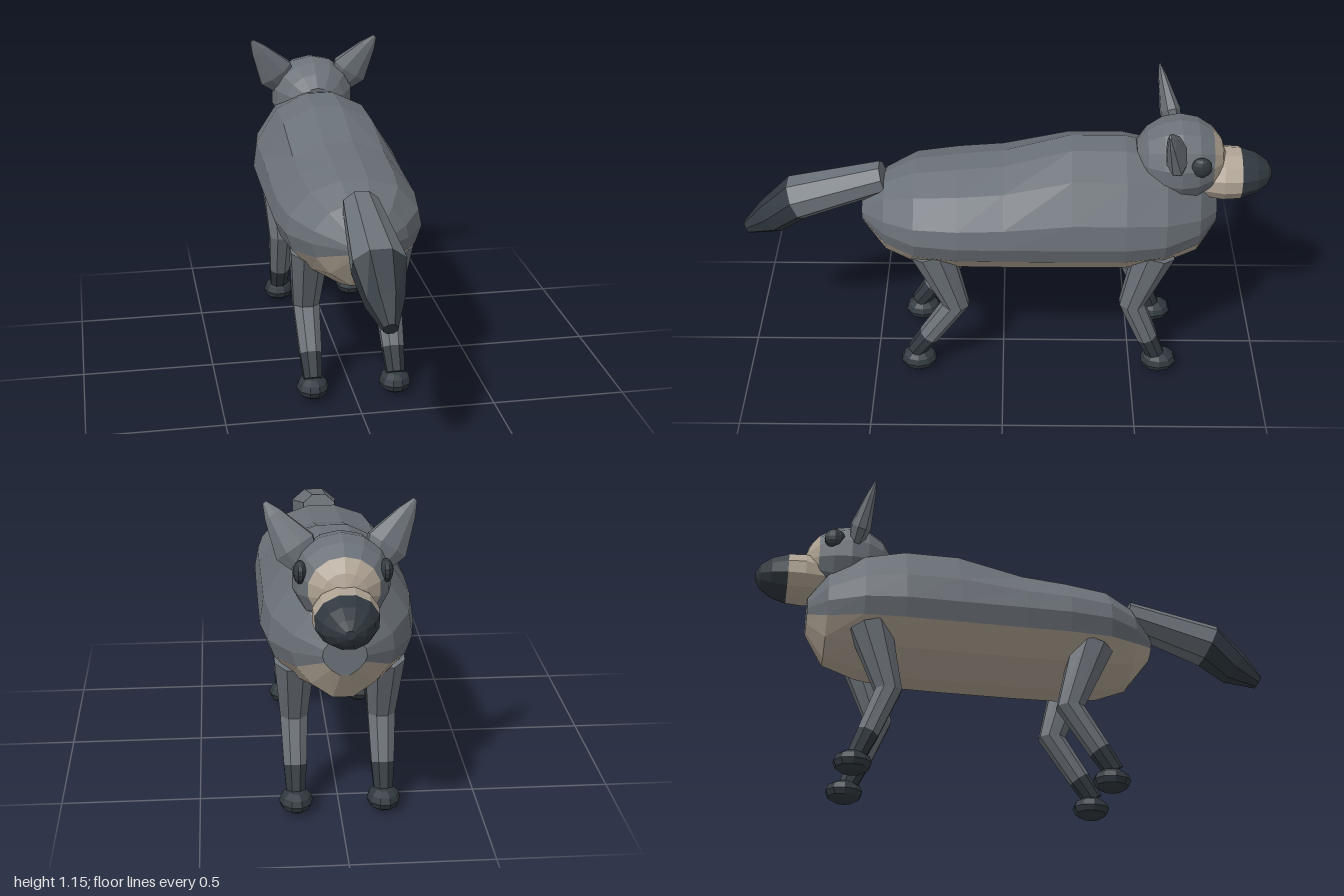
import * as THREE from 'three';

const V = (x, y, z) => new THREE.Vector3(x, y, z);
const mat = (name, color) => {
  const m = new THREE.MeshStandardMaterial({ color, flatShading: true });
  m.name = name;
  return m;
};

// Ring of n points around c, spanned by the vectors u and v
function ring(c, u, v, n) {
  return Array.from({ length: n }, (_, i) => {
    const a = ((i + 0.5) / n) * Math.PI * 2;
    return c.clone().addScaledVector(u, Math.cos(a)).addScaledVector(v, Math.sin(a));
  });
}

// Closed skin over rings; pick(band, side) gives the material index, caps use bands -1 and last
function loft(name, rings, mats, pick = () => 0) {
  const buckets = mats.map(() => []);
  let volume = 0;
  const tri = (k, a, b, c) => {
    volume += a.dot(b.clone().cross(c));
    buckets[k].push([a, b, c]);
  };
  const n = rings[0].length, last = rings.length - 1;
  for (let i = 0; i < last; i++) {
    for (let j = 0; j < n; j++) {
      const k = (j + 1) % n, m = pick(i, j);
      tri(m, rings[i][j], rings[i][k], rings[i + 1][k]);
      tri(m, rings[i][j], rings[i + 1][k], rings[i + 1][j]);
    }
  }
  for (let j = 1; j < n - 1; j++) {
    tri(pick(-1, j), rings[0][0], rings[0][j + 1], rings[0][j]);
    tri(pick(last, j), rings[last][0], rings[last][j], rings[last][j + 1]);
  }
  const pos = [], geo = new THREE.BufferGeometry();
  buckets.forEach((tris, k) => {
    geo.addGroup(pos.length / 3, tris.length * 3, k);
    for (const [a, b, c] of tris) {
      for (const p of volume > 0 ? [a, b, c] : [a, c, b]) pos.push(p.x, p.y, p.z);
    }
  });
  geo.setAttribute('position', new THREE.Float32BufferAttribute(pos, 3));
  geo.computeVertexNormals();
  const mesh = new THREE.Mesh(geo, mats);
  mesh.name = name;
  return mesh;
}

// Rings along a bent path of [x, y, z, rx, r]
function pathRings(path, n) {
  const pts = path.map((p) => V(p[0], p[1], p[2]));
  return path.map((p, i) => {
    const t = pts[Math.min(i + 1, pts.length - 1)].clone().sub(pts[Math.max(i - 1, 0)]).normalize();
    const side = V(1, 0, 0).addScaledVector(t, -t.x).normalize();
    const up = t.clone().cross(side);
    return ring(pts[i], side.multiplyScalar(p[3]), up.multiplyScalar(p[4]), n);
  });
}

// Ellipsoid rings from the front (-z) to the back, angles in degrees
const ovalRings = (c, rx, ry, rz, angles, n) => angles.map((deg) => {
  const a = THREE.MathUtils.degToRad(deg), s = Math.sin(a);
  return ring(V(c.x, c.y, c.z - rz * Math.cos(a)), V(rx * s, 0, 0), V(0, ry * s, 0), n);
});

function ball(name, material, p, r, w, h) {
  const mesh = new THREE.Mesh(new THREE.SphereGeometry(1, w, h), material);
  mesh.name = name;
  mesh.position.set(...p);
  mesh.scale.set(...r);
  return mesh;
}

export function createModel() {
  const grey = mat('grey fur', 0x6b7178);
  const dark = mat('dark fur', 0x30383f);
  const cream = mat('cream fur', 0xb0a494);
  const model = new THREE.Group();
  model.name = 'canine';

  // Body: half outline from belly to spine, swept through [z, bottom, middle, top, halfWidth]
  const half = [[0.2, -1], [0.62, -0.69], [0.91, -0.31], [1, 0], [0.95, 0.34], [0.64, 0.8], [0.2, 1]];
  const outline = [...half, ...half.map(([x, y]) => [-x, y]).reverse()];
  const sections = [
    [0.535, 0.61, 0.66, 0.71, 0.06], [0.445, 0.49, 0.66, 0.80, 0.175], [0.33, 0.45, 0.66, 0.85, 0.25],
    [0.17, 0.435, 0.66, 0.868, 0.272], [0, 0.433, 0.66, 0.885, 0.273], [-0.25, 0.433, 0.66, 0.955, 0.273],
    [-0.45, 0.435, 0.66, 0.955, 0.272], [-0.6, 0.455, 0.66, 0.92, 0.25], [-0.73, 0.495, 0.665, 0.84, 0.175],
    [-0.8, 0.605, 0.675, 0.745, 0.075],
  ];
  const bodyRings = sections.map(([z, lo, mid, hi, w]) =>
    outline.map(([x, y]) => V(x * w, mid + y * (y < 0 ? mid - lo : hi - mid), z)));
  const isBelly = (i, j) => (i >= 0 && i < 9 && (j < 2 || j > 10) ? 1 : 0);
  model.add(loft('body', bodyRings, [grey, cream], isBelly));

  // Head with a pale face, and a snout with a dark tip
  model.add(loft('head', ovalRings(V(0, 0.9, -0.65), 0.17, 0.157, 0.172,
    [8, 26, 46, 68, 90, 112, 135, 157], 14), [grey, cream], (i) => (i < 2 ? 1 : 0)));
  model.add(loft('snout', ovalRings(V(0, 0.83, -0.83), 0.114, 0.098, 0.172,
    [9, 28, 50, 73, 95, 120, 150], 12), [cream, dark], (i) => (i < 3 ? 1 : 0)));

  // Tail with a dark tip
  model.add(loft('tail', pathRings([
    [0, 0.8, 0.45, 0.068, 0.06], [0, 0.703, 0.785, 0.1, 0.083],
    [0, 0.615, 0.89, 0.07, 0.07], [0, 0.562, 0.985, 0.027, 0.027],
  ], 8), [grey, dark], (i) => (i > 0 ? 1 : 0)));

  for (const s of [1, -1]) {
    const label = s > 0 ? 'Left' : 'Right';

    // Ear: flattened leaf leaning outwards, [distance from tip, halfWidth]
    const tip = V(0.253 * s, 1.147, -0.582);
    const axis = V(-0.135 * s, -0.2, -0.055).normalize();
    const wide = V(0.82 * s, -0.57, 0).negate();
    const deep = axis.clone().cross(wide).normalize();
    const leaf = [[0, 0.008], [0.05, 0.034], [0.118, 0.058], [0.18, 0.08], [0.25, 0.052], [0.29, 0.01]];
    model.add(loft('ear' + label, leaf.map(([d, r]) => ring(tip.clone().addScaledVector(axis, d),
      wide.clone().multiplyScalar(r), deep.clone().multiplyScalar(r * 0.5), 8)), [grey]));

    model.add(ball('eye' + label, dark, [0.143 * s, 0.945, -0.717], [0.024, 0.04, 0.04], 10, 8));

    // Legs with dark socks and paws
    const x = 0.157 * s;
    const legs = {
      front: [[x, 0.58, -0.57, 0.076, 0.082], [x, 0.33, -0.495, 0.053, 0.052],
        [x, 0.16, -0.562, 0.044, 0.042], [x, 0.07, -0.6, 0.036, 0.036]],
      rear: [[x, 0.58, 0.27, 0.076, 0.085], [x, 0.32, 0.182, 0.053, 0.054],
        [x, 0.16, 0.29, 0.044, 0.042], [x, 0.08, 0.345, 0.036, 0.036]],
    };
    for (const [end, path] of Object.entries(legs)) {
      model.add(loft(end + 'Leg' + label, pathRings(path, 8), [grey, dark], (i) => (i > 1 ? 1 : 0)));
      model.add(ball(end + 'Paw' + label, dark, [x, 0.044, end === 'front' ? -0.612 : 0.333],
        [0.061, 0.044, 0.071], 10, 6));
    }
  }
  return model;
}
